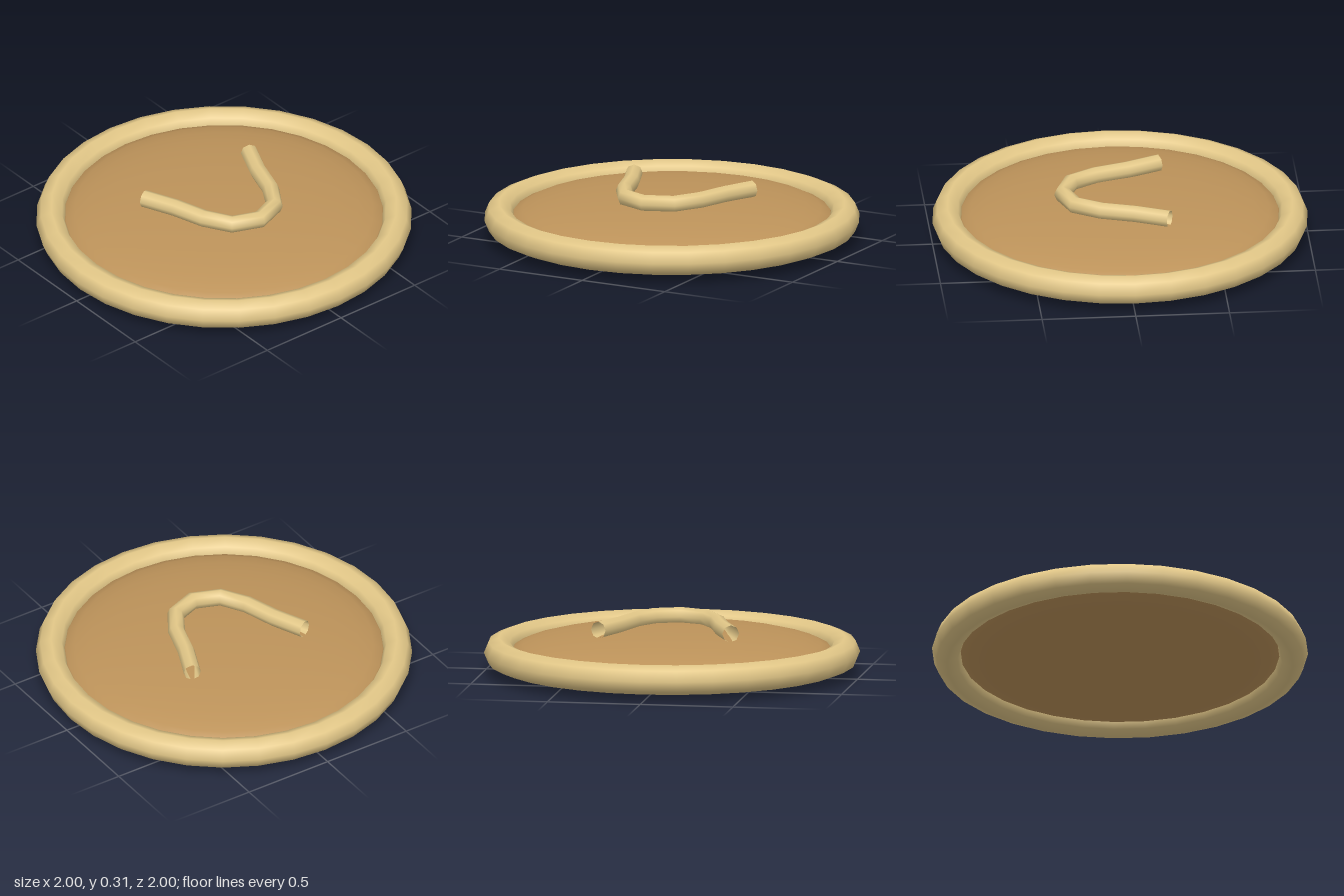
import * as THREE from 'three';

export function createModel() {
  const group = new THREE.Group();
  const cream = new THREE.MeshStandardMaterial({ color: 0xe3c888, side: THREE.DoubleSide });
  const tan = new THREE.MeshStandardMaterial({ color: 0xbd935a });
  const add = (name, geometry, material, y) => {
    const mesh = new THREE.Mesh(geometry, material);
    mesh.name = name;
    mesh.position.y = y;
    group.add(mesh);
  };

  // Lens-shaped body, a flattened sphere
  add('disc', new THREE.SphereGeometry(1, 32, 16).scale(0.86, 0.12, 0.86), tan, 0.12);

  // Rounded rim around the body
  add('rim', new THREE.TorusGeometry(0.92, 0.08, 8, 32).rotateX(Math.PI / 2), cream, 0.12);

  // Open-ended curved bead on top, mirrored across z = 0
  const half = [[-0.235, -0.357], [-0.06, -0.28], [0.115, -0.225], [0.25, -0.143]];
  const mirrored = half.map(([x, z]) => [x, -z]).reverse();
  const path = new THREE.CatmullRomCurve3(
    [...half, [0.305, 0], ...mirrored].map(([x, z]) => new THREE.Vector3(x, 0, z)));
  // Place one ring of the tube at each path point
  path.getPointAt = (t, target) => path.getPoint(t, target);
  path.getTangentAt = (t, target) => path.getTangent(t, target);
  add('curvedBead', new THREE.TubeGeometry(path, 8, 0.046, 8, false), cream, 0.265);

  return group;
}
